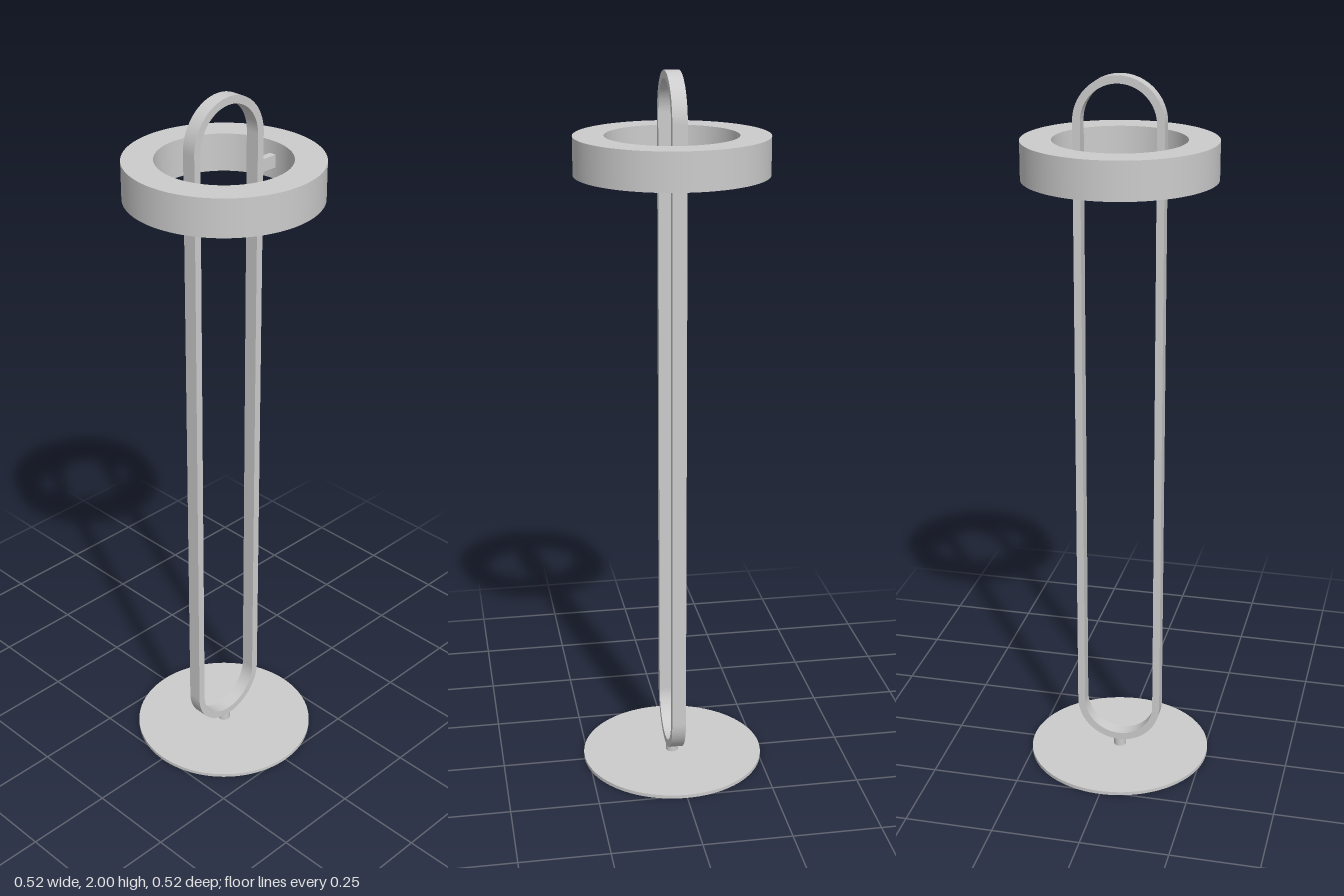
import * as THREE from 'three';

const grey = new THREE.MeshStandardMaterial({ color: 0xcccccc });
grey.name = 'satin grey';

function add(group, name, geometry, y = 0, x = 0) {
  const mesh = new THREE.Mesh(geometry, grey);
  mesh.name = name;
  mesh.position.set(x, y, 0);
  group.add(mesh);
  return mesh;
}

// Upright stadium outline: semicircle ends centred at y = low and y = high
function stadium(path, r, low, high) {
  path.moveTo(r, low);
  path.lineTo(r, high);
  path.absarc(0, high, r, 0, Math.PI, false);
  path.lineTo(-r, low);
  path.absarc(0, low, r, Math.PI, Math.PI * 2, false);
  return path;
}

// Lathe with hard edges: each profile segment becomes its own band
function ringBands(group, name, profile) {
  const ring = new THREE.Group();
  ring.name = name;
  profile.forEach(([r, y], i) => {
    const [r2, y2] = profile[(i + 1) % profile.length];
    const points = [new THREE.Vector2(r, y), new THREE.Vector2(r2, y2)];
    add(ring, name + 'Band' + i, new THREE.LatheGeometry(points, 96));
  });
  group.add(ring);
}

export function createModel() {
  const model = new THREE.Group();
  model.name = 'floorLamp';

  // Flat disc base and short stem
  add(model, 'base', new THREE.CylinderGeometry(0.262, 0.262, 0.01, 96), 0.005);
  add(model, 'stem', new THREE.CylinderGeometry(0.018, 0.018, 0.032, 32), 0.025);

  // Tall loop frame of rectangular bar
  const outline = stadium(new THREE.Shape(), 0.123, 0.158, 1.877);
  outline.holes.push(stadium(new THREE.Path(), 0.102, 0.158, 1.877));
  const frame = new THREE.ExtrudeGeometry(outline, { depth: 0.04, bevelEnabled: false, curveSegments: 32 });
  frame.translate(0, 0, -0.02);
  add(model, 'loopFrame', frame);

  // Ring shade: thin walls around a light panel recessed in the underside
  ringBands(model, 'ringShade', [
    [0.262, 1.73], [0.262, 1.833], [0.179, 1.833], [0.179, 1.73],
    [0.184, 1.73], [0.184, 1.742], [0.257, 1.742], [0.257, 1.73],
  ]);

  // Brackets joining the frame to the ring
  for (const side of [-1, 1]) {
    add(model, side > 0 ? 'leftBracket' : 'rightBracket',
      new THREE.BoxGeometry(0.062, 0.035, 0.02), 1.78, side * 0.151);
  }
  return model;
}
